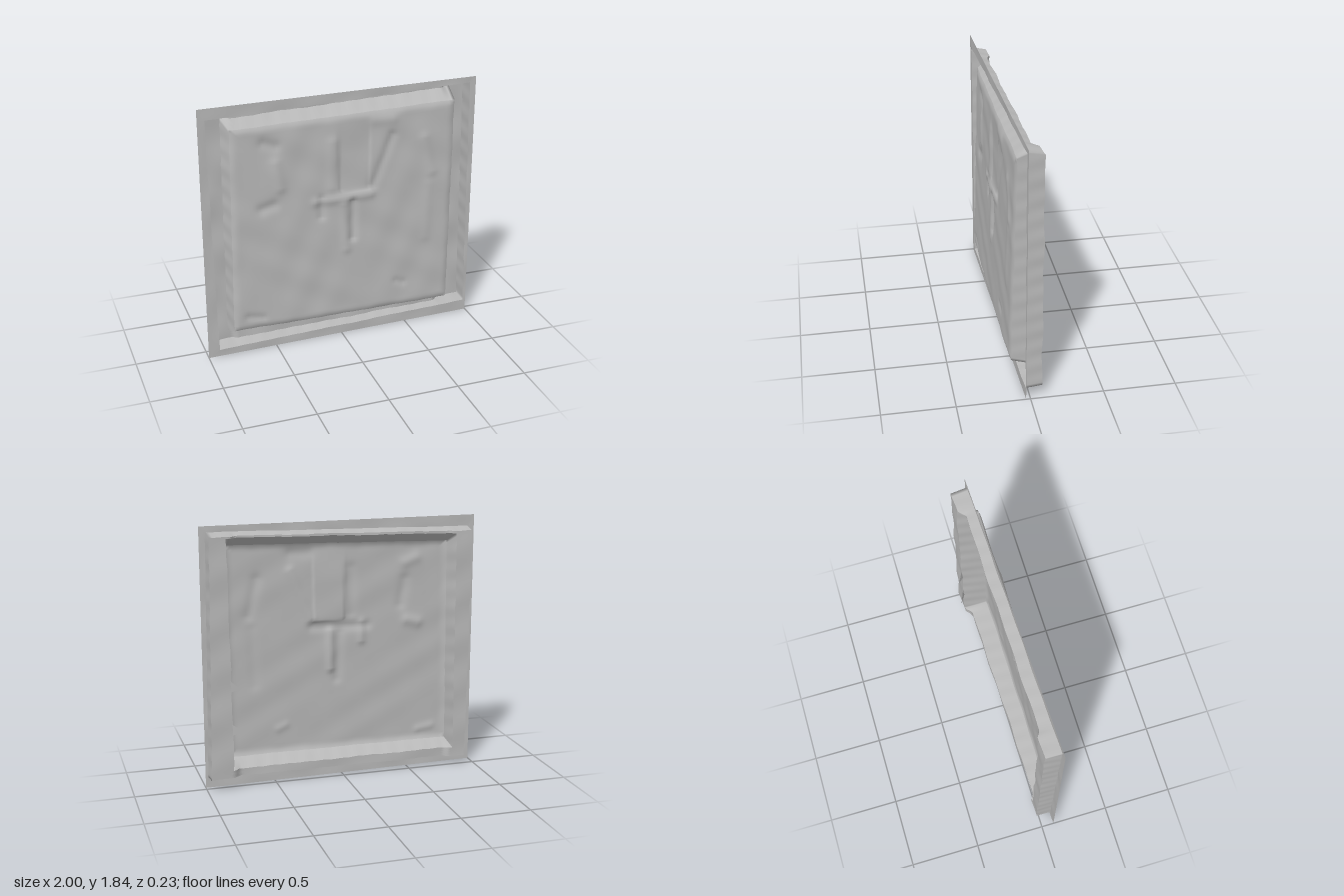
import * as THREE from 'three';
import { ParametricGeometry } from 'three/addons/geometries/ParametricGeometry.js';

const SEG = 80; // grid cells along each side
const smooth = THREE.MathUtils.smoothstep;
const lerp = THREE.MathUtils.lerp;

// Depths of the three levels of the pressed sheet
const ROUND = 0.012; // drop of the rounded panel edge
const flangeZ = (x) => 0.06 - 0.03 * x;
const floorZ = (x) =>
  -0.05 - 0.032 * x + (0.036 + 0.012 * x) * (1 - smooth(Math.abs(x), 0.76, 0.81));
const panelZ = (x, y) => 0.12 - 0.022 * y - 0.008 * x * x;
const panelEdgeZ = (x, y) => panelZ(x, y) - ROUND;

// Outlines as corners, counterclockwise from the lower left
const OUTER = [[-1, 0], [1, 0], [1, 1.84], [-1, 1.84]];
const LIP = [[-0.92, 0.05], [0.98, 0.08], [0.955, 1.8], [-0.95, 1.76]];
const FLOOR_OUT = [[-0.925, 0.07], [0.975, 0.09], [0.95, 1.78], [-0.945, 1.74]];
const FLOOR_IN = [[-0.83, 0.135], [0.815, 0.14], [0.835, 1.765], [-0.825, 1.725]];
const PANEL = [[-0.81, 0.185], [0.8, 0.185], [0.825, 1.7], [-0.785, 1.665]];

// Slow, uneven surface noise shared by neighbouring parts
function wobble(p, amount) {
  const { x, y, z } = p;
  p.x += amount * 0.6 * Math.sin(17 * y + 9 * z) * Math.cos(29 * y + 3 * x);
  p.y += amount * 0.6 * Math.sin(19 * x + 7 * z) * Math.cos(31 * x + 2 * y);
  p.z += amount * Math.sin(13 * x + 4 * y) * Math.cos(15 * y - 5 * x);
}

// Smooth ridge along a line segment
function ridge(x, y, [ax, ay, bx, by, width, height]) {
  const dx = bx - ax, dy = by - ay;
  const t = THREE.MathUtils.clamp(((x - ax) * dx + (y - ay) * dy) / (dx * dx + dy * dy), 0, 1);
  const d2 = (x - ax - t * dx) ** 2 + (y - ay - t * dy) ** 2;
  return height * Math.exp(-d2 / (width * width));
}

// Worn relief in the middle of the panel: ax, ay, bx, by, width, height
const RIDGES = [
  [-0.2, 1.08, 0.2, 1.09, 0.035, 0.01],
  [0.07, 1.05, 0.07, 0.78, 0.03, -0.014],
  [0.0, 1.03, 0.02, 0.7, 0.035, 0.008],
  [0.22, 1.15, 0.36, 1.5, 0.035, -0.01],
  [-0.08, 1.5, -0.08, 1.18, 0.04, 0.007],
  [0.23, 1.62, 0.36, 1.62, 0.04, 0.006],
  [-0.16, 1.1, -0.16, 0.97, 0.03, -0.01],
  [-0.58, 1.08, -0.5, 1.1, 0.04, -0.011],
  [-0.48, 1.4, -0.45, 1.22, 0.04, 0.009],
  [-0.56, 1.55, -0.48, 1.52, 0.04, -0.009],
  [0.6, 1.45, 0.66, 1.2, 0.04, 0.008],
  [0.62, 0.7, 0.64, 1.1, 0.04, 0.004],
  [-0.7, 0.28, -0.6, 0.26, 0.03, -0.007],
  [0.4, 0.38, 0.45, 0.36, 0.03, -0.006],
];

function relief(x, y) {
  let h = 0.0015 * Math.sin(21 * x + 8 * y) * Math.sin(18 * y - 6 * x);
  for (const r of RIDGES) h += ridge(x, y, r);
  // shallow sunken field with a straight right and lower side
  h -= 0.01 * smooth(x, -0.05, -0.02) * (1 - smooth(x, 0.19, 0.21))
    * smooth(y, 1.12, 1.14) * (1 - smooth(y, 1.4, 1.65));
  return h;
}

// Point on a four-cornered outline, u running once round it
function onOutline(corners, u) {
  const s = Math.min(u, 1) * 4;
  const i = Math.min(Math.floor(s), 3);
  const a = corners[i], b = corners[(i + 1) % 4];
  return [lerp(a[0], b[0], s - i), lerp(a[1], b[1], s - i)];
}

// Band between two outlines, blending from one depth rule to another
function band(from, zFrom, to, zTo, rows, noiseFrom, noiseTo) {
  return new ParametricGeometry((u, v, p) => {
    const a = onOutline(from, u), b = onOutline(to, u);
    const x = lerp(a[0], b[0], v), y = lerp(a[1], b[1], v);
    p.set(x, y, lerp(zFrom(x, y), zTo(x, y), v));
    wobble(p, lerp(noiseFrom, noiseTo, v));
  }, SEG * 4, rows);
}

// Raised field with relief and softly rounded edges
function panelGeometry() {
  return new ParametricGeometry((u, v, p) => {
    const [a, b, c, d] = PANEL;
    const x = lerp(lerp(a[0], b[0], u), lerp(d[0], c[0], u), v);
    const y = lerp(lerp(a[1], b[1], u), lerp(d[1], c[1], u), v);
    const edge = Math.max(0, Math.min(u, 1 - u, v, 1 - v));
    const drop = ROUND * Math.max(0, 1 - edge / 0.03) ** 2;
    p.set(x, y, panelZ(x, y) - drop + relief(x, y) * smooth(edge, 0, 0.04));
    wobble(p, 0.003);
  }, SEG, SEG);
}

// Small torn triangle on the back of the right-hand channel
function burrGeometry(points) {
  const g = new THREE.BufferGeometry();
  g.setAttribute('position', new THREE.Float32BufferAttribute(points, 3));
  g.computeVertexNormals();
  return g;
}

export function createModel() {
  const model = new THREE.Group();
  model.name = 'pressedPanel';
  const grey = new THREE.MeshStandardMaterial({ color: 0xb8b8b8, side: THREE.DoubleSide });
  grey.name = 'plainGrey';

  const add = (name, geometry) => {
    const mesh = new THREE.Mesh(geometry, grey);
    mesh.name = name;
    model.add(mesh);
  };

  add('outerFlange', band(OUTER, flangeZ, LIP, flangeZ, 4, 0, 0.003));
  add('channelOuterWall', band(LIP, flangeZ, FLOOR_OUT, floorZ, 6, 0.003, 0.005));
  add('channelFloor', band(FLOOR_OUT, floorZ, FLOOR_IN, floorZ, 8, 0.005, 0.005));
  add('panelSide', band(FLOOR_IN, floorZ, PANEL, panelEdgeZ, 8, 0.005, 0.003));
  add('raisedPanel', panelGeometry());

  // Torn burrs: height along the channel, x of the tip
  for (const [y, tipX] of [[0.43, 0.74], [0.74, 0.77]]) {
    add('burr', burrGeometry([0.82, y - 0.03, -0.07, 0.84, y + 0.06, -0.07, tipX, y, -0.115]));
  }
  return model;
}
